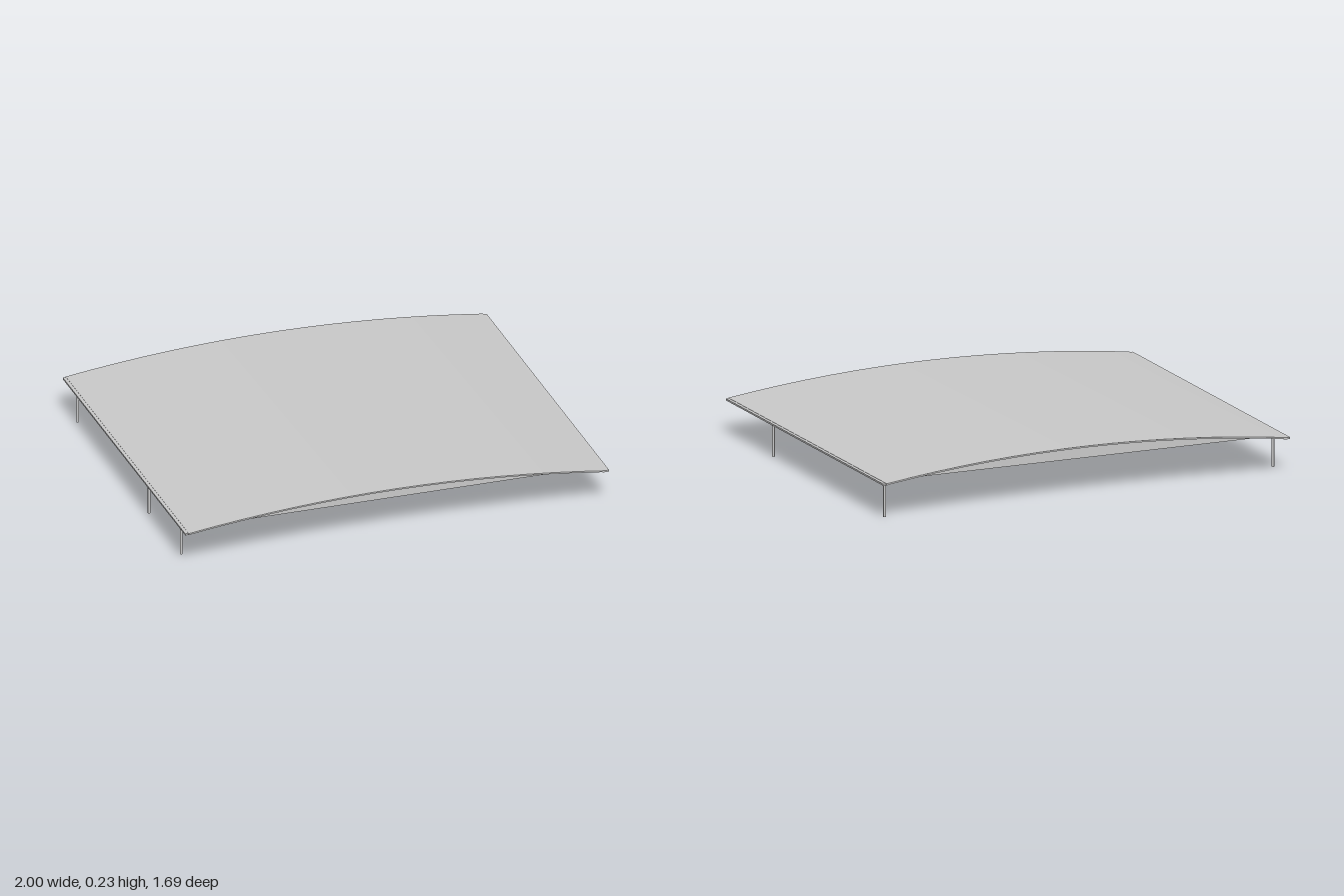
import * as THREE from 'three';
import { toCreasedNormals } from 'three/addons/utils/BufferGeometryUtils.js';

const HALF_X = 1, HALF_Z = 0.845, EAVE = 0.162, RISE = 0.07, SEGMENTS = 16;

// Height of the arched roof's upper surface at x
const archY = (x) => EAVE + RISE * (1 - x * x);

// Points along the arch, lowered by drop
function archPoints(halfWidth, drop) {
  const points = [];
  for (let i = 0; i <= SEGMENTS; i++) {
    const x = -halfWidth + (2 * halfWidth * i) / SEGMENTS;
    points.push(new THREE.Vector2(x, archY(x) - drop));
  }
  return points;
}

// Extrudes an outline along z, centred on the given z
function extrudeZ(points, depth, z) {
  const geometry = new THREE.ExtrudeGeometry(new THREE.Shape(points), { depth, bevelEnabled: false });
  geometry.translate(0, 0, z - depth / 2);
  return toCreasedNormals(geometry, 0.5);
}

// Curved band following the arch
function archBand(halfWidth, top, bottom, depth, z) {
  return extrudeZ([...archPoints(halfWidth, bottom), ...archPoints(halfWidth, top).reverse()], depth, z);
}

export function createModel() {
  const group = new THREE.Group();
  const material = new THREE.MeshStandardMaterial({ color: 0xcccccc, side: THREE.DoubleSide });
  const add = (name, geometry, x = 0, y = 0, z = 0) => {
    const mesh = new THREE.Mesh(geometry, material);
    mesh.name = name;
    mesh.position.set(x, y, z);
    group.add(mesh);
  };

  // Thin arched roof and the rib under its middle
  add('roof', archBand(0.985, 0, 0.007, HALF_Z * 2, 0));
  add('middleRib', archBand(0.97, 0.006, 0.011, 0.008, 0));

  // Filled gables, set in under the roof's ends
  const gable = archPoints(0.95, 0.005);
  for (const side of [-1, 1]) {
    add(side > 0 ? 'frontGable' : 'backGable', extrudeZ(gable, 0.004, side * 0.79));
  }

  // Eave beams along both low edges
  for (const side of [-1, 1]) {
    add(side > 0 ? 'leftEaveBeam' : 'rightEaveBeam',
      new THREE.BoxGeometry(0.03, 0.008, 1.68), side * (HALF_X - 0.015), 0.159, 0);
  }

  // Slender posts, unevenly spaced along each eave
  const postHeight = 0.158;
  const postGeometry = new THREE.CylinderGeometry(0.006, 0.006, postHeight, 16);
  const posts = [[0.975, 0.385], [0.975, -0.8], [-0.975, 0.71], [-0.975, 0.27], [-0.975, -0.71]];
  for (const [x, z] of posts) add('post', postGeometry, x, postHeight / 2, z);

  return group;
}
